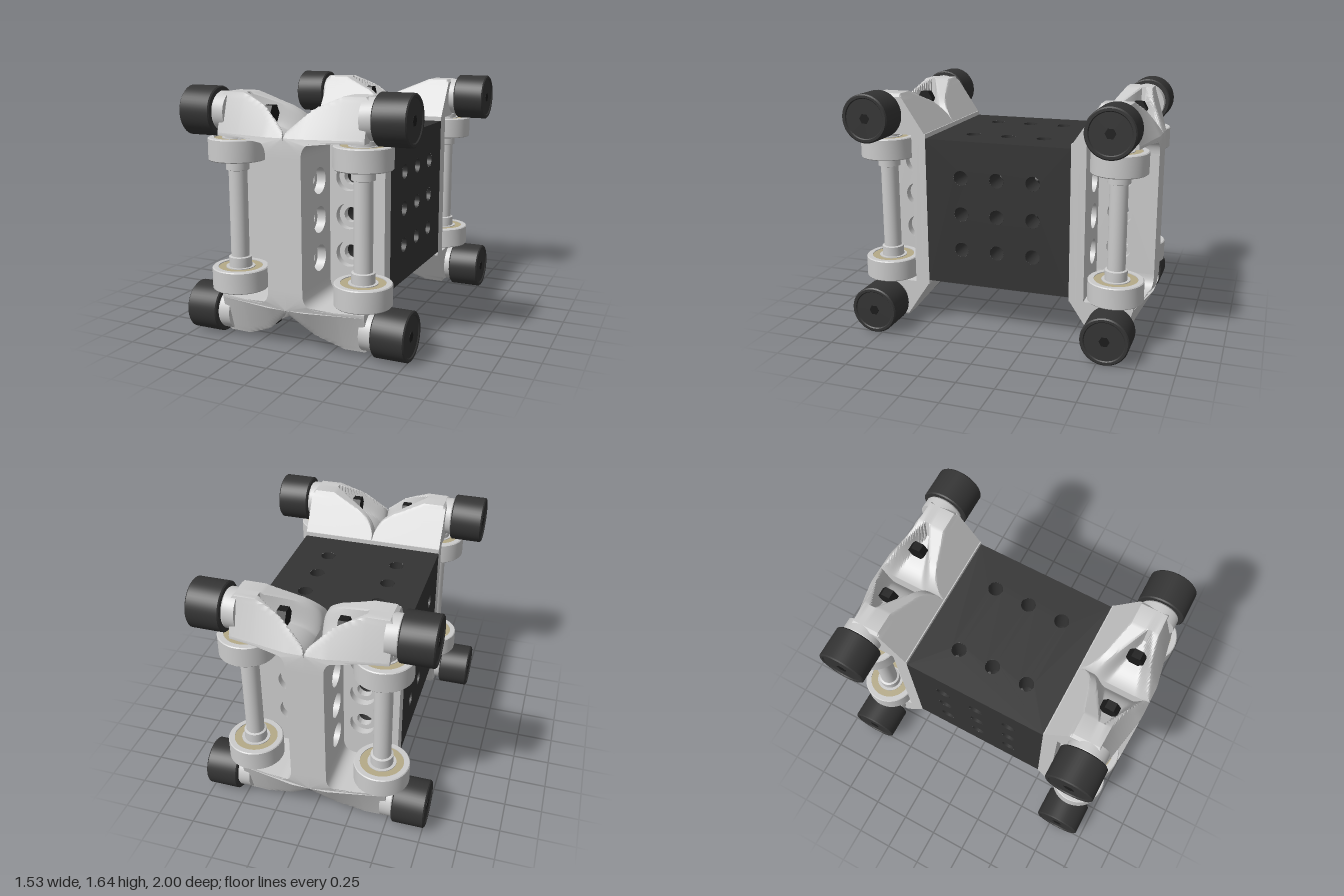
import * as THREE from 'three';
import { mergeGeometries, toCreasedNormals } from 'three/addons/utils/BufferGeometryUtils.js';

const MID = 0.82; // height of the symmetry plane
const R = 0.05; // bore radius
const metal = new THREE.MeshStandardMaterial({ color: 0xcccccc });
const dark = new THREE.MeshStandardMaterial({ color: 0x343434 });
const black = new THREE.MeshStandardMaterial({ color: 0x1c1c1c });
const shield = new THREE.MeshStandardMaterial({ color: 0xb5aa88 });
const boreMat = new THREE.MeshStandardMaterial({ color: 0x343434, side: THREE.DoubleSide });
const ROWS = [-0.25, 0, 0.25];
const COLS = [-0.25, 0.25];

function add(parent, name, geo, mat) {
  const mesh = new THREE.Mesh(geo, mat);
  mesh.name = name;
  parent.add(mesh);
}

// Mirrored copy, with the winding repaired when the handedness changes
function mirror(geo, sx, sy, sz) {
  const g = geo.index ? geo.toNonIndexed() : geo.clone();
  g.scale(sx, sy, sz);
  if (sx * sy * sz < 0) {
    for (const a of Object.values(g.attributes)) {
      const n = a.itemSize;
      for (let i = 0; i < a.count; i += 3) {
        for (let k = 0; k < n; k++) {
          const p = (i + 1) * n + k, q = (i + 2) * n + k;
          [a.array[p], a.array[q]] = [a.array[q], a.array[p]];
        }
      }
    }
  }
  return g;
}

// Rectangle with round holes
function drilled(x0, x1, y0, y1, holes, r) {
  const s = new THREE.Shape();
  s.moveTo(x0, y0).lineTo(x1, y0).lineTo(x1, y1).lineTo(x0, y1).closePath();
  for (const [x, y] of holes) s.holes.push(new THREE.Path().absarc(x, y, r, 0, Math.PI * 2, true));
  return s;
}

const grid = (us, vs) => us.flatMap(u => vs.map(v => [u, v]));
const lathe = (pts, seg = 40) =>
  toCreasedNormals(new THREE.LatheGeometry(pts.map(p => new THREE.Vector2(...p)), seg), 0.5);

// Plate in two layers: small hole, then wider counterbore
function counterbored(x0, x1, y0, y1, holes, depths) {
  let z = 0;
  return mergeGeometries(depths.map((depth, i) => {
    const g = new THREE.ExtrudeGeometry(drilled(x0, x1, y0, y1, holes, i ? 0.085 : R),
      { depth, bevelEnabled: false, curveSegments: 24 }).translate(0, 0, z);
    z += depth;
    return toCreasedNormals(g, 0.5);
  }));
}

// Central block: drilled faces
function blockFaces() {
  const face = (us, vs) => new THREE.ShapeGeometry(drilled(-0.5, 0.5, -0.5, 0.5, grid(us, vs), R), 16).translate(0, 0, 0.5);
  const parts = [];
  for (const turn of [0, Math.PI]) {
    parts.push(face(COLS, ROWS).rotateY(turn));
    parts.push(face(ROWS, ROWS).rotateY(Math.PI / 2 + turn));
    parts.push(face(COLS, ROWS).rotateX(Math.PI / 2 + turn));
  }
  return mergeGeometries(parts);
}

// Bore walls, trimmed where three bores cross
function boreWalls() {
  const parts = [];
  const bore = (nodes, place) => {
    const stops = [-0.5, ...nodes, 0.5];
    for (let i = 0; i + 1 < stops.length; i++) {
      const g = new THREE.CylinderGeometry(R, R, 1, 16, 1, true);
      const p = g.attributes.position;
      for (let k = 0; k < p.count; k++) {
        const trim = Math.max(Math.abs(p.getX(k)), Math.abs(p.getZ(k)));
        const top = p.getY(k) > 0;
        const open = top ? i + 2 === stops.length : i === 0;
        p.setY(k, top ? stops[i + 1] - (open ? 0 : trim) : stops[i] + (open ? 0 : trim));
      }
      parts.push(place(g));
    }
  };
  for (const [a, b] of grid(ROWS, ROWS)) bore(COLS, g => g.rotateZ(Math.PI / 2).translate(0, a, b));
  for (const [a, b] of grid(COLS, ROWS)) {
    bore(ROWS, g => g.translate(a, 0, b));
    bore(ROWS, g => g.rotateX(Math.PI / 2).translate(a, b, 0));
  }
  return mergeGeometries(parts);
}

// Arm at one bracket corner: extruded elbow, sloped fore and aft, with a bolt trough
function armGeometry() {
  const s = new THREE.Shape();
  s.moveTo(0, 0.42).lineTo(0.12, 0.42);
  s.quadraticCurveTo(0.12, 0.52, 0.22, 0.52);
  s.lineTo(0.5, 0.52).lineTo(0.5, 0.77).lineTo(0.48, 0.79);
  for (let i = 0; i <= 10; i++) s.lineTo(0.34 - 0.019 * i, 0.79 - 0.008 * i);
  s.quadraticCurveTo(0, 0.65, 0, 0.52);
  s.closePath();
  const g = new THREE.ExtrudeGeometry(s, { depth: 0.5, steps: 50, bevelEnabled: false, curveSegments: 12 });
  g.translate(0, 0, 0.5);
  const p = g.attributes.position;
  for (let i = 0; i < p.count; i++) {
    const x = p.getX(i), z = p.getZ(i);
    let y = p.getY(i);
    if (y > 0.5201) {
      y = Math.min(y, 0.52 + (z - 0.5) * 1.5, 0.54 + (1 - z) * 1.9);
      const w = Math.max(0.2 * (1 - x / 0.36), 0.001);
      const dip = 0.14 * (1 - THREE.MathUtils.smoothstep(Math.abs(z - 0.8), 0.5 * w, w));
      if (x < 0.34) y = Math.max(y - dip, 0.42);
    }
    const taper = Math.max(0, z - 0.85) / 0.15 * Math.max(0, x - 0.12) / 0.38;
    p.setXYZ(i, x, y, z - 0.07 * taper);
  }
  return toCreasedNormals(g, 0.5);
}

export function createModel() {
  const model = new THREE.Group();
  model.name = 'rollerCarriage';
  const body = new THREE.Group();
  body.name = 'body';
  body.position.y = MID;
  model.add(body);

  add(body, 'centralBlock', blockFaces(), dark);
  add(body, 'blockBores', boreWalls(), boreMat);

  // Parts shared by the four brackets
  const plate = counterbored(0, 0.5, -0.53, 0.53, ROWS.map(y => [0.25, y]), [0.05, 0.05]).translate(0, 0, 0.5);
  const spine = counterbored(-1, -0.5, -0.42, 0.42, ROWS.map(y => [-0.75, y]), [0.06, 0.06]).rotateY(Math.PI / 2);
  const axle = lathe([[0, -0.36], [0.075, -0.36], [0.075, -0.29], [0.06, -0.285],
    [0.06, 0.285], [0.075, 0.29], [0.075, 0.36], [0, 0.36]], 32).translate(0.44, 0, 0.8);

  // Parts at each of the eight corners
  const alongX = g => g.rotateZ(-Math.PI / 2).translate(0, 0.66, 0.8);
  const arm = armGeometry();
  const boss = alongX(lathe([[0, 0.46], [0.13, 0.46], [0.13, 0.535], [0.12, 0.55], [0, 0.55]]));
  const wheel = alongX(lathe([[0, 0.545], [0.152, 0.545], [0.16, 0.553], [0.16, 0.757], [0.152, 0.765],
    [0.136, 0.765], [0.13, 0.758], [0, 0.758]], 48));
  const socket = alongX(new THREE.CylinderGeometry(0.035, 0.035, 0.01, 6).translate(0, 0.755, 0));
  const nut = alongX(toCreasedNormals(new THREE.CylinderGeometry(0.06, 0.06, 0.06, 6), 0.5).translate(0, 0.19, 0));
  const bearing = lathe([[0, 0.355], [0.095, 0.355], [0.095, 0.364], [0.145, 0.364], [0.145, 0.355],
    [0.179, 0.355], [0.185, 0.361], [0.185, 0.494], [0.179, 0.5], [0.145, 0.5], [0.145, 0.491],
    [0.095, 0.491], [0.095, 0.5], [0, 0.5]], 48).translate(0.44, 0, 0.8);
  const seal = lathe([[0.095, 0.36], [0.145, 0.36], [0.145, 0.495], [0.095, 0.495]]).translate(0.44, 0, 0.8);
  const spacer = lathe([[0, 0.49], [0.08, 0.49], [0.08, 0.53], [0, 0.53]], 32).translate(0.44, 0, 0.8);

  for (const sz of [1, -1]) {
    for (const sx of [1, -1]) {
      const bracket = new THREE.Group();
      bracket.name = (sz > 0 ? 'front' : 'back') + (sx > 0 ? 'Left' : 'Right') + 'Bracket';
      body.add(bracket);
      add(bracket, 'mountingPlate', mirror(plate, sx, 1, sz), metal);
      add(bracket, 'spine', mirror(spine, sx, 1, sz), metal);
      add(bracket, 'axle', mirror(axle, sx, 1, sz), metal);
      for (const sy of [1, -1]) {
        const corner = new THREE.Group();
        corner.name = sy > 0 ? 'upperCorner' : 'lowerCorner';
        bracket.add(corner);
        const put = (name, geo, mat) => add(corner, name, mirror(geo, sx, sy, sz), mat);
        put('arm', arm, metal);
        put('wheelBoss', boss, metal);
        put('wheel', wheel, dark);
        put('hexSocket', socket, black);
        put('boltNut', nut, black);
        put('bearing', bearing, metal);
        put('bearingSeal', seal, shield);
        put('bearingSpacer', spacer, metal);
      }
    }
  }
  return model;
}
